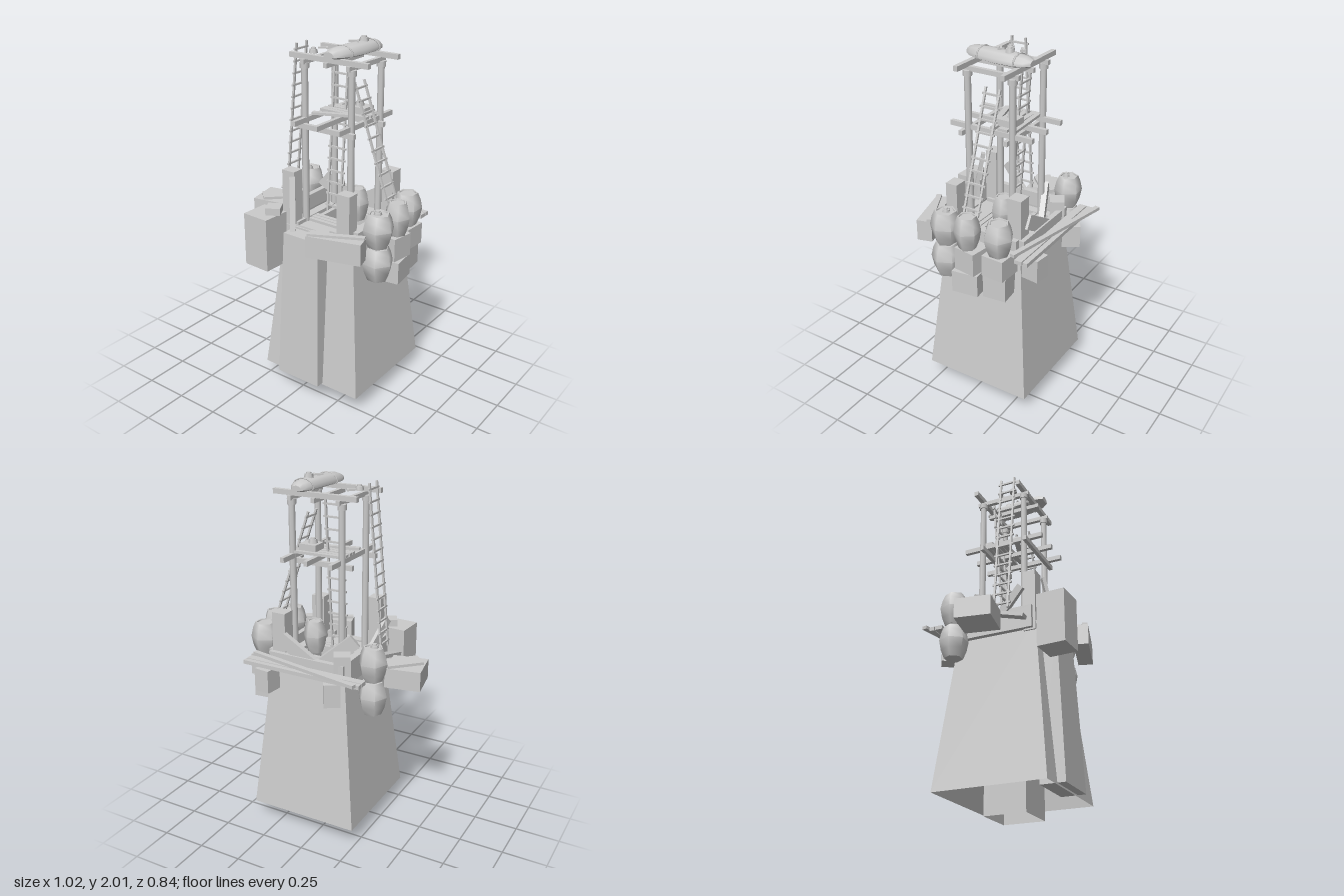
import * as THREE from 'three';
import { toCreasedNormals } from 'three/addons/utils/BufferGeometryUtils.js';

const material = new THREE.MeshStandardMaterial({ color: 0xcccccc, side: THREE.DoubleSide });
const V = (x, y, z) => new THREE.Vector3(x, y, z);

export function createModel() {
  const model = new THREE.Group();
  model.name = 'lookoutTower';

  const add = (name, geometry, x = 0, y = 0, z = 0, parent = model) => {
    const mesh = new THREE.Mesh(geometry, material);
    mesh.name = name;
    mesh.position.set(x, y, z);
    parent.add(mesh);
    return mesh;
  };
  // Box given by its size, its centre in plan and its bottom height
  const box = (name, [w, h, d], x, y, z, turn = 0) => {
    const mesh = add(name, new THREE.BoxGeometry(w, h, d), x, y + h / 2, z);
    mesh.rotation.y = turn;
    return mesh;
  };
  // Straight timber from a to b
  const beam = (name, a, b, w, h, parent = model) => {
    const mesh = add(name, new THREE.BoxGeometry(w, h, a.distanceTo(b)), 0, 0, 0, parent);
    mesh.position.copy(a).add(b).multiplyScalar(0.5);
    mesh.lookAt(b);
    return mesh;
  };
  // Tapered four-sided shell
  const frustum = (w0, d0, w1, d1, h, open) => {
    const g = new THREE.CylinderGeometry(Math.SQRT1_2, Math.SQRT1_2, h, 4, 1, open).toNonIndexed();
    g.rotateY(Math.PI / 4);
    const p = g.attributes.position;
    for (let i = 0; i < p.count; i++) {
      const top = p.getY(i) > 0;
      p.setX(i, p.getX(i) * (top ? w1 : w0));
      p.setZ(i, p.getZ(i) * (top ? d1 : d0));
    }
    g.computeVertexNormals();
    return g;
  };

  // Stone body, front buttress and hollow shaft underneath
  const cx = 0.08, cz = -0.03;
  add('towerBody', frustum(0.64, 0.64, 0.45, 0.46, 0.9, true), cx, 0.55, cz);
  add('frontButtress', frustum(0.28, 0.14, 0.23, 0.12, 0.87, false), 0.03, 0.545, 0.25)
    .geometry.translate(0, 0, -0.0)
    .applyMatrix4(new THREE.Matrix4().makeShear(0, 0, 0, -0.035, 0, 0));
  add('shaft', frustum(0.24, 0.24, 0.24, 0.24, 0.98, true), cx, 0.49, cz);

  // Deck with an opening over the shaft
  const deckShape = new THREE.Shape();
  deckShape.moveTo(-0.235, -0.24).lineTo(0.235, -0.24).lineTo(0.235, 0.24).lineTo(-0.235, 0.24);
  const hole = new THREE.Path();
  hole.moveTo(-0.12, -0.12).lineTo(-0.12, 0.12).lineTo(0.12, 0.12).lineTo(0.12, -0.12);
  deckShape.holes.push(hole);
  const deck = new THREE.ExtrudeGeometry(deckShape, { depth: 0.02, bevelEnabled: false });
  add('deck', deck.rotateX(-Math.PI / 2), cx, 0.97, cz);
  for (const z of [-0.16, -0.13, 0.03, 0.06, 0.09])
    box('deckPlank', [0.34, 0.015, 0.024], cx, 0.99, z);
  for (const x of [-0.08, 0.24]) box('deckBearer', [0.03, 0.02, 0.44], x, 0.99, cz);

  // Low parapets and corner merlons
  box('sideParapet', [0.03, 0.13, 0.44], -0.165, 0.95, cz);
  box('sideParapet', [0.03, 0.1, 0.44], 0.315, 0.95, cz);
  box('backParapet', [0.46, 0.1, 0.03], cx, 0.95, -0.27);
  box('frontParapet', [0.13, 0.08, 0.03], 0.23, 0.95, 0.2);
  box('merlon', [0.08, 0.36, 0.07], -0.12, 0.94, 0.17);
  box('merlon', [0.08, 0.31, 0.07], 0.25, 0.94, 0.18);
  box('merlon', [0.08, 0.33, 0.08], 0.26, 0.94, -0.22);
  box('merlon', [0.09, 0.16, 0.08], -0.12, 0.94, -0.24, 0.5);
  // Loose boards leaning on the walls
  beam('leaningBoard', V(-0.04, 0.99, 0.27), V(-0.08, 1.28, 0.22), 0.03, 0.02);
  beam('leaningBoard', V(-0.17, 1.05, 0.0), V(-0.2, 1.19, 0.14), 0.02, 0.05);
  beam('leaningBoard', V(-0.245, 0.98, 0.18), V(-0.25, 1.06, -0.1), 0.05, 0.02);
  beam('leaningBoard', V(-0.15, 1.15, -0.15), V(0.02, 1.0, -0.22), 0.03, 0.08);
  beam('leaningBoard', V(0.24, 1.13, -0.26), V(0.02, 1.0, -0.26), 0.03, 0.08);

  // Timber scaffold
  for (const x of [-0.077, 0.22]) for (const z of [0.105, -0.16]) {
    add('post', new THREE.CylinderGeometry(0.018, 0.02, 0.9, 8), x, 1.42, z);
    add('postCollar', new THREE.CylinderGeometry(0.025, 0.025, 0.03, 8), x, 1.86, z);
  }
  for (const z of [0.105, -0.165]) {
    box('topCrossBeam', [0.49, 0.027, 0.025], 0.077, 1.893, z);
    box('middleCrossBeam', [0.39, 0.027, 0.022], 0.065, 1.53, z + 0.025);
  }
  for (const x of [-0.07, 0.075, 0.215]) {
    box('middleLongBeam', [0.022, 0.027, 0.49], x, 1.56, cz);
    box('topLongBeam', [0.022, 0.025, 0.33], x, 1.87, cz);
  }
  for (let i = 0; i < 4; i++)
    box('platformPlank', [0.3, 0.014, 0.028], 0.07, 1.587, -0.04 - i * 0.036, (i % 2) * 0.06);
  beam('platformPlank', V(-0.07, 1.595, 0.05), V(0.13, 1.6, -0.01), 0.03, 0.014);
  box('supplyBox', [0.1, 0.035, 0.09], 0.14, 1.601, -0.1);

  // Ladders: rails from foot to head, rungs spread along them
  const ladder = (foot, head, side) => {
    const group = new THREE.Group();
    group.name = 'ladder';
    model.add(group);
    for (const s of [-1, 1]) {
      const offset = side.clone().multiplyScalar(s);
      beam('ladderRail', foot.clone().add(offset), head.clone().add(offset), 0.011, 0.011, group);
    }
    const n = Math.round(foot.distanceTo(head) / 0.066);
    for (let i = 0; i < n; i++) {
      const p = foot.clone().lerp(head, (i + 0.5) / n);
      const reach = side.clone().multiplyScalar(1.35);
      beam('ladderRung', p.clone().sub(reach), p.clone().add(reach), 0.01, 0.01, group);
    }
  };
  ladder(V(-0.235, 1.06, 0.035), V(-0.15, 1.96, 0.035), V(0, 0, 0.042));
  ladder(V(0.005, 1.01, -0.04), V(0.005, 1.89, -0.11), V(0.043, 0, 0));
  ladder(V(0.4, 1.17, -0.02), V(0.18, 1.79, -0.02), V(0, 0, 0.042));

  // Six-sided barrels and their bungs
  const barrelProfile = [[0, 0], [0.053, 0], [0.071, 0.045], [0.082, 0.1], [0.071, 0.15],
    [0.056, 0.185], [0.048, 0.185], [0.046, 0.178], [0, 0.178]].map(([r, y]) => new THREE.Vector2(r, y));
  const barrelGeometry = toCreasedNormals(new THREE.LatheGeometry(barrelProfile, 6), 1.1);
  const bung = (x, y, z, r = 0.024) => {
    add('bung', new THREE.CylinderGeometry(r * 0.8, r, 0.022, 6), x, y + 0.011, z);
    add('bungTip', new THREE.CylinderGeometry(r * 0.5, r * 0.6, 0.012, 6), x, y + 0.024, z);
  };
  const barrel = (x, y, z, turn, s = 1) => {
    const mesh = add('barrel', barrelGeometry, x, y, z);
    mesh.rotation.y = Math.PI / 6 + turn;
    mesh.scale.set(s, 1, s);
  };
  for (const y of [0.79, 0.98]) {
    barrel(-0.29, y, -0.215, 0.1, 0.97);
    barrel(0.415, y, 0.13, -0.1, 1.05);
  }
  barrel(0.395, 0.99, -0.185, 0.5);
  barrel(0.435, 1.0, -0.02, 0.1, 0.88);
  barrel(0.15, 1.0, -0.06, 0.3, 0.8);
  bung(-0.29, 1.15, -0.2);
  bung(0.41, 1.15, 0.13);
  bung(-0.073, 1.91, 0.035);
  bung(0.15, 1.975, -0.1, 0.026);
  bung(0.13, 1.636, -0.1, 0.026);

  // Crates hung around the walls
  const crates = [
    [[0.195, 0.11, 0.195], -0.395, 0.91, -0.02, 0.19],
    [[0.2, 0.02, 0.1], -0.375, 1.015, -0.025, 0.78],
    [[0.16, 0.3, 0.16], -0.177, 0.79, 0.335, -0.05],
    [[0.08, 0.04, 0.08], -0.135, 1.09, 0.31, 0.5],
    [[0.3, 0.12, 0.085], 0.275, 0.94, 0.313, 0.27],
    [[0.3, 0.015, 0.03], 0.275, 1.058, 0.31, 0.46],
    [[0.14, 0.125, 0.15], 0.415, 0.74, -0.02, 0.12],
    [[0.13, 0.13, 0.13], 0.41, 0.865, -0.03, -0.15],
    [[0.13, 0.13, 0.13], 0.38, 0.74, -0.18, 0.1],
    [[0.14, 0.12, 0.13], 0.385, 0.87, -0.185, -0.05],
    [[0.09, 0.13, 0.1], 0.29, 0.85, -0.34, -0.12],
    [[0.09, 0.13, 0.1], -0.11, 0.85, -0.335, 0.55],
  ];
  for (const c of crates) box('crate', ...c);

  // Long planks stacked at the back
  box('backPlank', [0.71, 0.022, 0.028], 0.067, 0.985, -0.358);
  box('backPlank', [0.71, 0.022, 0.026], 0.067, 0.985, -0.325);
  box('backPlank', [0.71, 0.022, 0.026], 0.067, 0.985, -0.308);
  beam('backPlank', V(-0.28, 1.018, -0.41), V(0.41, 1.018, -0.275), 0.028, 0.018);

  // Rolled bundle on the roof, flattened underneath and slightly bent
  const rollProfile = [[0, -0.195], [0.032, -0.195], [0.055, -0.165], [0.068, -0.1], [0.072, 0],
    [0.068, 0.1], [0.058, 0.16], [0.035, 0.195], [0, 0.195]].map(([r, y]) => new THREE.Vector2(r, y));
  const roll = new THREE.LatheGeometry(rollProfile, 10).rotateX(Math.PI / 2);
  const bend = (g) => {
    const p = g.attributes.position;
    for (let i = 0; i < p.count; i++) {
      const z = p.getZ(i);
      p.setX(i, p.getX(i) * 0.9 - z * 0.08 - z * z * 0.4);
      p.setY(i, p.getY(i) > 0 ? p.getY(i) * 0.65 : p.getY(i) * 0.3);
    }
    return g;
  };
  add('roofBundle', toCreasedNormals(bend(roll), 0.9), 0.147, 1.937, -0.035);
  for (const z of [-0.12, 0.1])
    add('bundleTie', bend(new THREE.TorusGeometry(0.069, 0.005, 5, 16).translate(0, 0, z)), 0.147, 1.937, -0.035);

  // Pegs lying on the roof, one large end each
  for (const [x, y, z] of [[0.13, 1.985, -0.04], [-0.07, 1.925, -0.045]]) {
    beam('peg', V(x - 0.02, y, z + 0.02), V(x + 0.02, y, z - 0.01), 0.01, 0.01);
    beam('pegHead', V(x + 0.01, y, z - 0.022), V(x + 0.028, y, z + 0.006), 0.01, 0.01);
  }

  return model;
}
